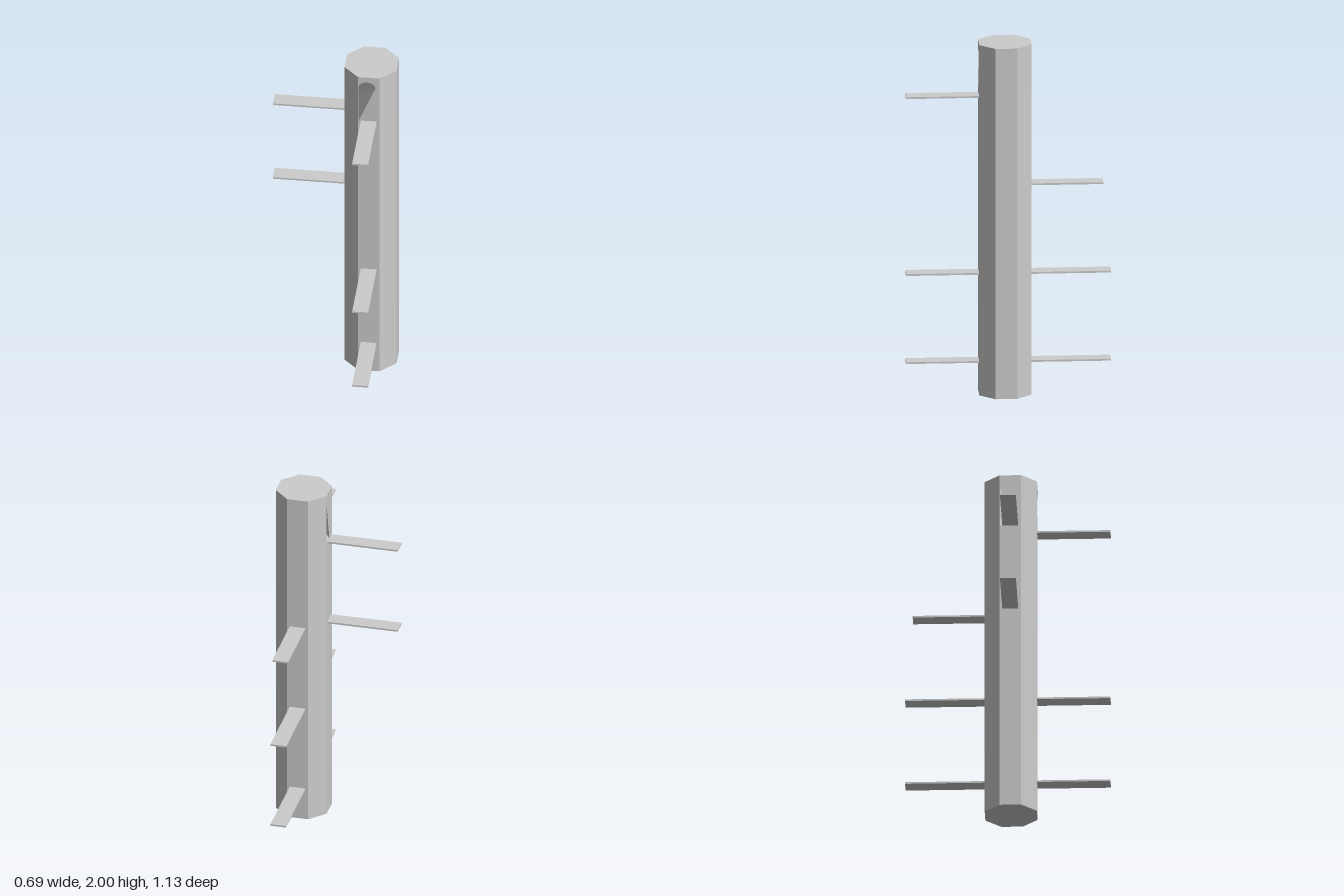
import * as THREE from 'three';

const HEIGHT = 2;
const APOTHEM = 0.144;
const HALF = APOTHEM * Math.tan(Math.PI / 8);
const RADIUS = APOTHEM / Math.cos(Math.PI / 8);
const CENTRE = [0.198, 0, 0.018];

// Arched opening in the front face: slanted sill, round head, straight jamb (u, y)
const archHole = [[-0.057, 1.7], [0.037, 1.93]];
for (let i = 1; i <= 7; i++) {
  const a = (i / 8) * Math.PI;
  archHole.push([-0.01 + 0.047 * Math.cos(a), 1.93 + 0.037 * Math.sin(a)]);
}
archHole.push([-0.057, 1.93]);

// Triangular opening in the side face
const sideHole = [[0.004, 1.7], [-0.057, 1.7], [-0.057, 1.93]];

const toPath = (points) => points.map(([x, y]) => new THREE.Vector2(x, y));

export function createModel() {
  const group = new THREE.Group();
  const grey = new THREE.MeshStandardMaterial({ color: 0xcccccc, side: THREE.DoubleSide });
  grey.name = 'grey';

  const add = (parent, name, geometry) => {
    const mesh = new THREE.Mesh(geometry, grey);
    mesh.name = name;
    parent.add(mesh);
    return mesh;
  };

  // Octagonal column made of eight panels and two caps
  const column = new THREE.Group();
  column.name = 'column';
  column.position.set(...CENTRE);
  group.add(column);
  for (let k = 0; k < 8; k++) {
    const panel = new THREE.Shape(toPath([[-HALF, 0], [HALF, 0], [HALF, HEIGHT], [-HALF, HEIGHT]]));
    if (k === 0) panel.holes.push(new THREE.Path(toPath(archHole)));
    if (k === 6) panel.holes.push(new THREE.Path(toPath(sideHole)));
    const geometry = new THREE.ShapeGeometry(panel);
    geometry.translate(0, 0, APOTHEM);
    geometry.rotateY((k * Math.PI) / 4);
    add(column, 'columnPanel', geometry);
  }
  const cap = () => new THREE.CircleGeometry(RADIUS, 8, Math.PI / 8);
  add(column, 'columnTop', cap().rotateX(-Math.PI / 2).translate(0, HEIGHT, 0));
  add(column, 'columnBase', cap().rotateX(Math.PI / 2));

  // Passage joining the two openings
  const front = [archHole[0], ...archHole].map(([u, y]) => [u, y, APOTHEM]);
  const side = front.map((_, i) => sideHole[Math.min(i, 2)]).map(([u, y]) => [-APOTHEM, y, u]);
  const corners = [];
  front.forEach((a, i) => {
    const j = (i + 1) % front.length;
    corners.push(...a, ...side[i], ...front[j], ...front[j], ...side[i], ...side[j]);
  });
  const passage = new THREE.BufferGeometry();
  passage.setAttribute('position', new THREE.Float32BufferAttribute(corners, 3));
  passage.computeVertexNormals();
  add(column, 'passage', passage);

  // Plank steps: side, height, distance of the tip from the column centre
  const steps = [
    ['front', 1.7, 0.548, 0], ['front', 0.69, 0.548, 0], ['front', 0.187, 0.548, 0],
    ['back', 1.196, 0.541, 2], ['back', 0.69, 0.583, 2], ['back', 0.187, 0.583, 2],
    ['side', 1.7, 0.543, 3], ['side', 1.196, 0.543, 3],
  ];
  for (const [name, y, tip, turns] of steps) {
    const length = tip - APOTHEM;
    const geometry = new THREE.BoxGeometry(0.088, 0.01, length);
    geometry.translate(0, y, APOTHEM + length / 2);
    geometry.rotateY((turns * Math.PI) / 2);
    add(group, name + 'Step', geometry).position.set(...CENTRE);
  }
  return group;
}
